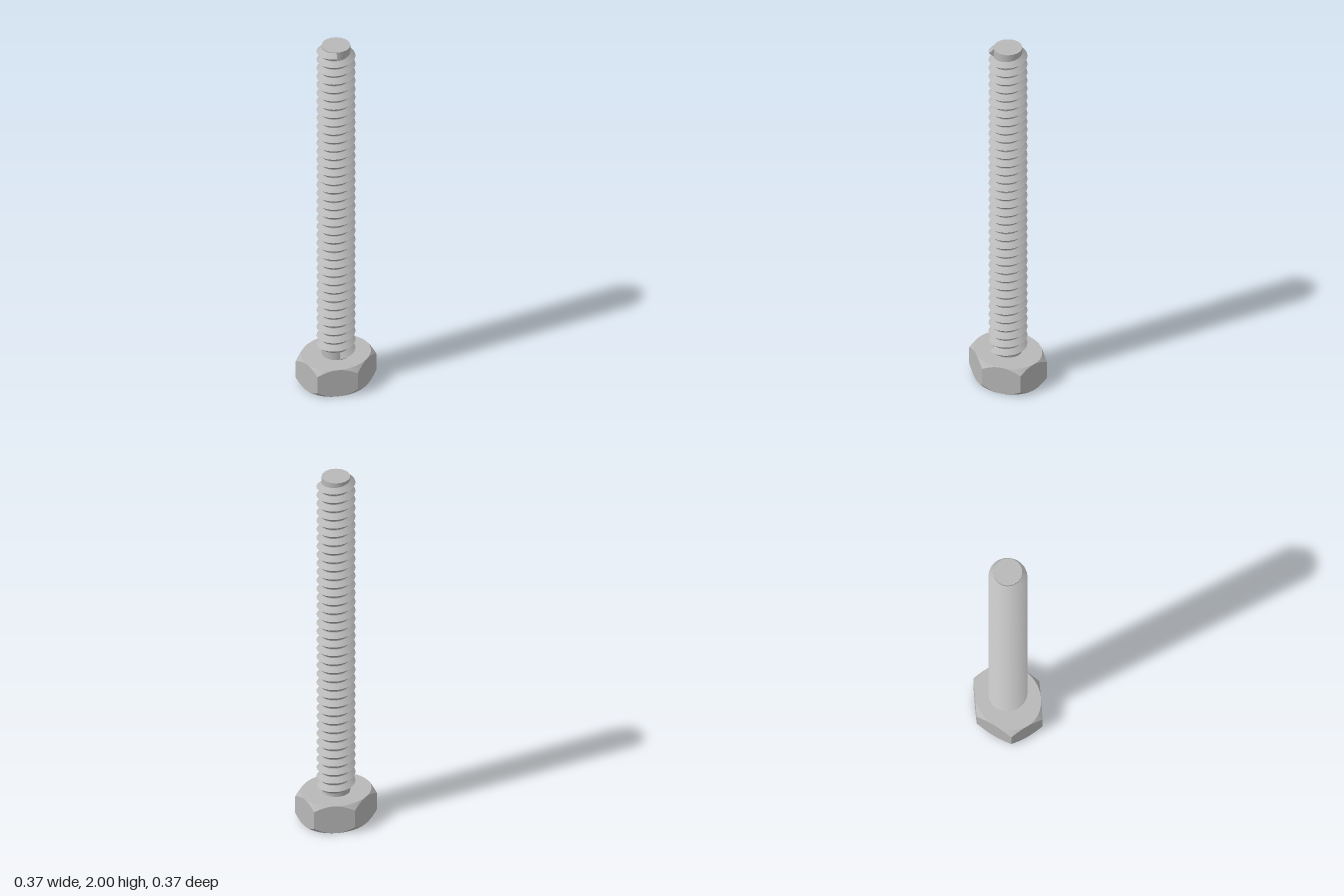
import * as THREE from 'three';

const HEAD_H = 0.157, TOP = 2;
const CORE_R = 0.072, TIP_R = 0.098;
const PITCH = 0.05, HALF_TOOTH = 0.024;

// Point at an angle, counter-clockwise seen from above
const polar = (r, y, t) => new THREE.Vector3(r * Math.cos(t), y, -r * Math.sin(t));

// Surface between a lower and an upper row of points, facing outwards
function strip(lower, upper) {
  const n = lower.length, index = [];
  for (let i = 0; i < n - 1; i++) {
    index.push(i, i + 1, n + i + 1, i, n + i + 1, n + i);
  }
  const g = new THREE.BufferGeometry().setFromPoints([...lower, ...upper]);
  g.setIndex(index);
  g.computeVertexNormals();
  return g;
}

// Hexagonal head with conical chamfers above and below
function buildHead(material) {
  const head = new THREE.Group();
  head.name = 'hexHead';
  const flat = Math.cos(Math.PI / 6), drop = 0.03, steps = 12;
  const sx = 0.185, sz = 0.185 / flat;
  const point = (r, y, t) => polar(r, y, t).multiply(new THREE.Vector3(sx, 1, sz));
  const add = (name, lower, upper) => {
    const m = new THREE.Mesh(strip(lower, upper), material);
    m.name = name;
    head.add(m);
  };
  const rows = { centreLow: [], circleLow: [], edgeLow: [], edgeHigh: [], circleHigh: [], centreHigh: [] };
  for (let i = 0; i <= 6 * steps; i++) {
    const t = (i / steps) * Math.PI / 3;
    const r = flat / Math.cos(((i % steps) / steps) * Math.PI / 3 - Math.PI / 6);
    const d = drop * (r - flat) / (1 - flat);
    rows.centreLow.push(point(0, 0, t));
    rows.circleLow.push(point(flat, 0, t));
    rows.edgeLow.push(point(r, d, t));
    rows.edgeHigh.push(point(r, HEAD_H - d, t));
    rows.circleHigh.push(point(flat, HEAD_H, t));
    rows.centreHigh.push(point(0, HEAD_H, t));
  }
  add('headBottom', rows.centreLow, rows.circleLow);
  add('lowerChamfer', rows.circleLow, rows.edgeLow);
  for (let s = 0; s < 6; s++) {
    const a = s * steps, b = a + steps + 1;
    add('headFlat', rows.edgeLow.slice(a, b), rows.edgeHigh.slice(a, b));
  }
  add('upperChamfer', rows.edgeHigh, rows.circleHigh);
  add('headTop', rows.circleHigh, rows.centreHigh);
  return head;
}

// Right-handed V thread that winds up to the tip of the shank
function buildThread(material) {
  const thread = new THREE.Group();
  thread.name = 'thread';
  const endY = TOP - 0.025, startY = HEAD_H + 0.02;
  const endAngle = -34 * Math.PI / 180;
  const turns = (endY - startY) / PITCH;
  const n = Math.round(turns * 40);
  const low = [], tip = [], high = [];
  for (let i = 0; i <= n; i++) {
    const f = i / n;
    const t = endAngle - (1 - f) * turns * Math.PI * 2;
    const y = startY + (endY - startY) * f;
    low.push(polar(CORE_R - 0.001, y - HALF_TOOTH, t));
    tip.push(polar(TIP_R, y, t));
    high.push(polar(CORE_R - 0.001, y + HALF_TOOTH, t));
  }
  const add = (name, g) => {
    const m = new THREE.Mesh(g, material);
    m.name = name;
    thread.add(m);
  };
  add('lowerFlank', strip(low, tip));
  add('upperFlank', strip(tip, high));
  // Flat cut faces at both ends of the thread
  const cut = (name, pts) => {
    const g = new THREE.BufferGeometry().setFromPoints(pts);
    g.computeVertexNormals();
    add(name, g);
  };
  cut('threadStart', [low[0], tip[0], high[0]]);
  cut('threadEnd', [low[n], high[n], tip[n]]);
  return thread;
}

export function createModel() {
  const model = new THREE.Group();
  model.name = 'hexBolt';
  const steel = new THREE.MeshStandardMaterial({ color: 0xb8b8b8 });
  steel.name = 'steel grey';

  // Plain core of the shank
  const length = TOP - HEAD_H + 0.01;
  const core = new THREE.Mesh(new THREE.CylinderGeometry(CORE_R, CORE_R, length, 48), steel);
  core.name = 'shankCore';
  core.position.y = TOP - length / 2;

  model.add(buildHead(steel), core, buildThread(steel));
  return model;
}
